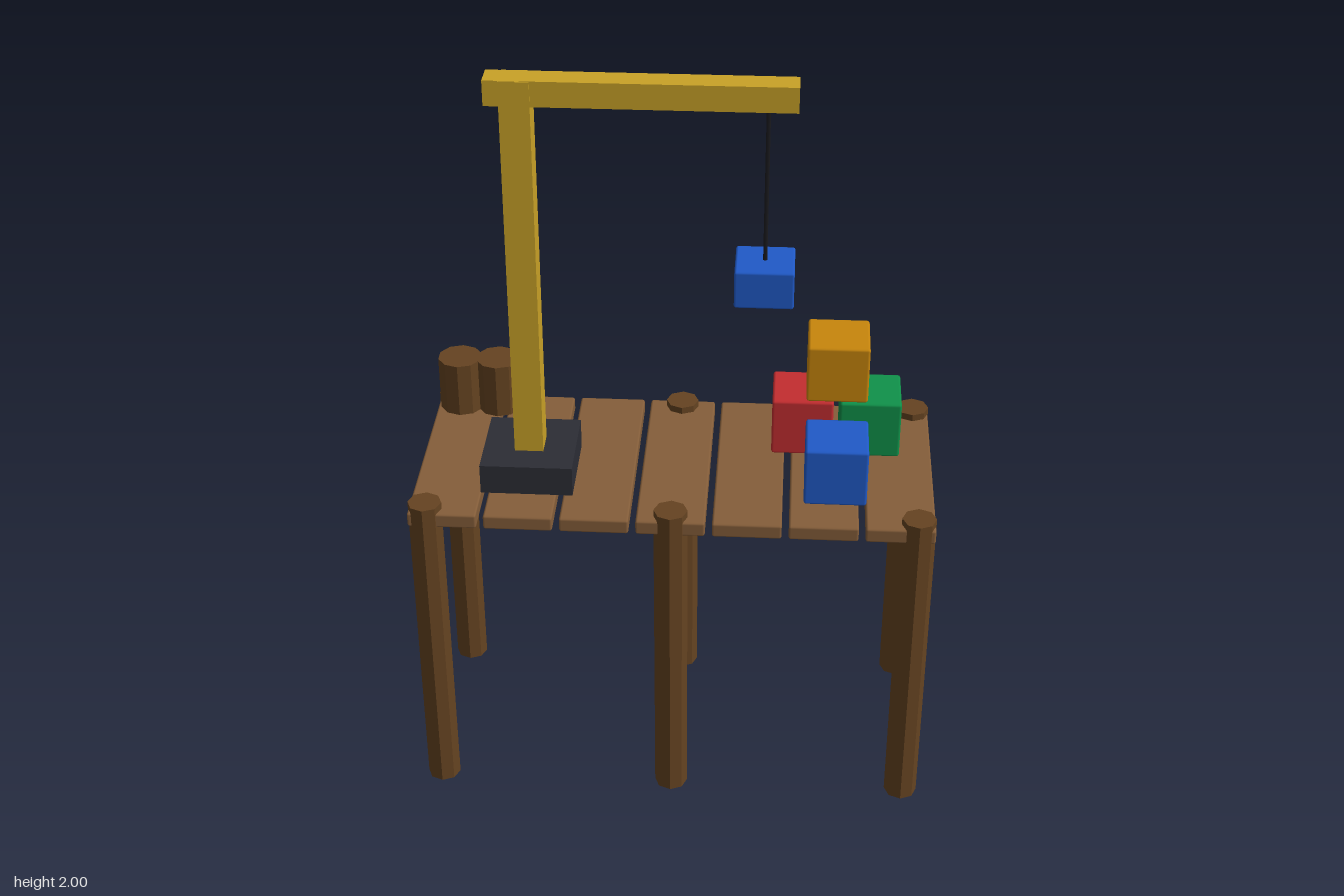
import * as THREE from 'three';
import { RoundedBoxGeometry } from 'three/addons/geometries/RoundedBoxGeometry.js';

const paint = (name, color, flatShading = false) => {
  const m = new THREE.MeshStandardMaterial({ color, flatShading });
  m.name = name;
  return m;
};

export function createModel() {
  const darkWood = paint('dark wood', 0x654321, true);
  const plankWood = paint('plank wood', 0x855e3a);
  const iron = paint('dark iron', 0x2c2d35);
  const yellow = paint('crane yellow', 0xc9a227);
  const blue = paint('blue', 0x205ac8);
  const red = paint('red', 0xc42d30);
  const green = paint('green', 0x10924a);
  const orange = paint('orange', 0xc8860c);
  const cable = paint('cable', 0x1a1a1e);

  const model = new THREE.Group();
  model.name = 'cargoDock';

  const add = (name, geometry, material, x, y, z, parent = model) => {
    const mesh = new THREE.Mesh(geometry, material);
    mesh.name = name;
    mesh.position.set(x, y, z);
    parent.add(mesh);
    return mesh;
  };
  const group = (name) => {
    const g = new THREE.Group();
    g.name = name;
    model.add(g);
    return g;
  };

  // Deck planks
  const deck = group('deck');
  const plank = new RoundedBoxGeometry(0.178, 0.04, 0.6, 1, 0.006);
  for (let i = -3; i <= 3; i++) add('plank', plank, plankWood, i * 0.196, 0.866, 0, deck);

  // Piles carrying the deck
  const piles = group('piles');
  const pile = new THREE.CylinderGeometry(0.044, 0.044, 0.905, 8);
  for (const x of [-0.634, 0, 0.634])
    for (const z of [-0.271, 0.271]) add('pile', pile, darkWood, x, 0.4525, z, piles);

  // Pair of barrels at the back corner
  const barrels = group('barrels');
  const barrel = new THREE.CylinderGeometry(0.06, 0.06, 0.152, 10);
  for (const x of [-0.605, -0.501]) add('barrel', barrel, darkWood, x, 0.981, -0.214, barrels);

  // Crane with its hanging load
  const crane = group('crane');
  const cz = 0.074;
  add('craneBase', new THREE.BoxGeometry(0.24, 0.082, 0.24), iron, -0.38, 0.927, 0.071, crane);
  add('craneMast', new THREE.BoxGeometry(0.075, 1.034, 0.074), yellow, -0.38, 1.482, cz, crane);
  add('craneArm', new THREE.BoxGeometry(0.75, 0.065, 0.067), yellow, -0.08, 1.9675, cz, crane);
  add('craneCable', new THREE.CylinderGeometry(0.006, 0.006, 0.42, 6), cable, 0.223, 1.73, cz, crane);
  add('hangingLoad', new RoundedBoxGeometry(0.148, 0.1, 0.148, 1, 0.006), blue, 0.223, 1.48, cz, crane);

  // Stacked crates
  const crates = group('crates');
  const crate = new RoundedBoxGeometry(0.162, 0.162, 0.162, 1, 0.007);
  add('redCrate', crate, red, 0.331, 0.969, -0.12, crates);
  add('greenCrate', crate, green, 0.51, 0.969, -0.12, crates);
  add('orangeCrate', crate, orange, 0.42, 1.134, -0.12, crates);
  add('blueCrate', crate, blue, 0.42, 0.969, 0.119, crates);

  return model;
}
